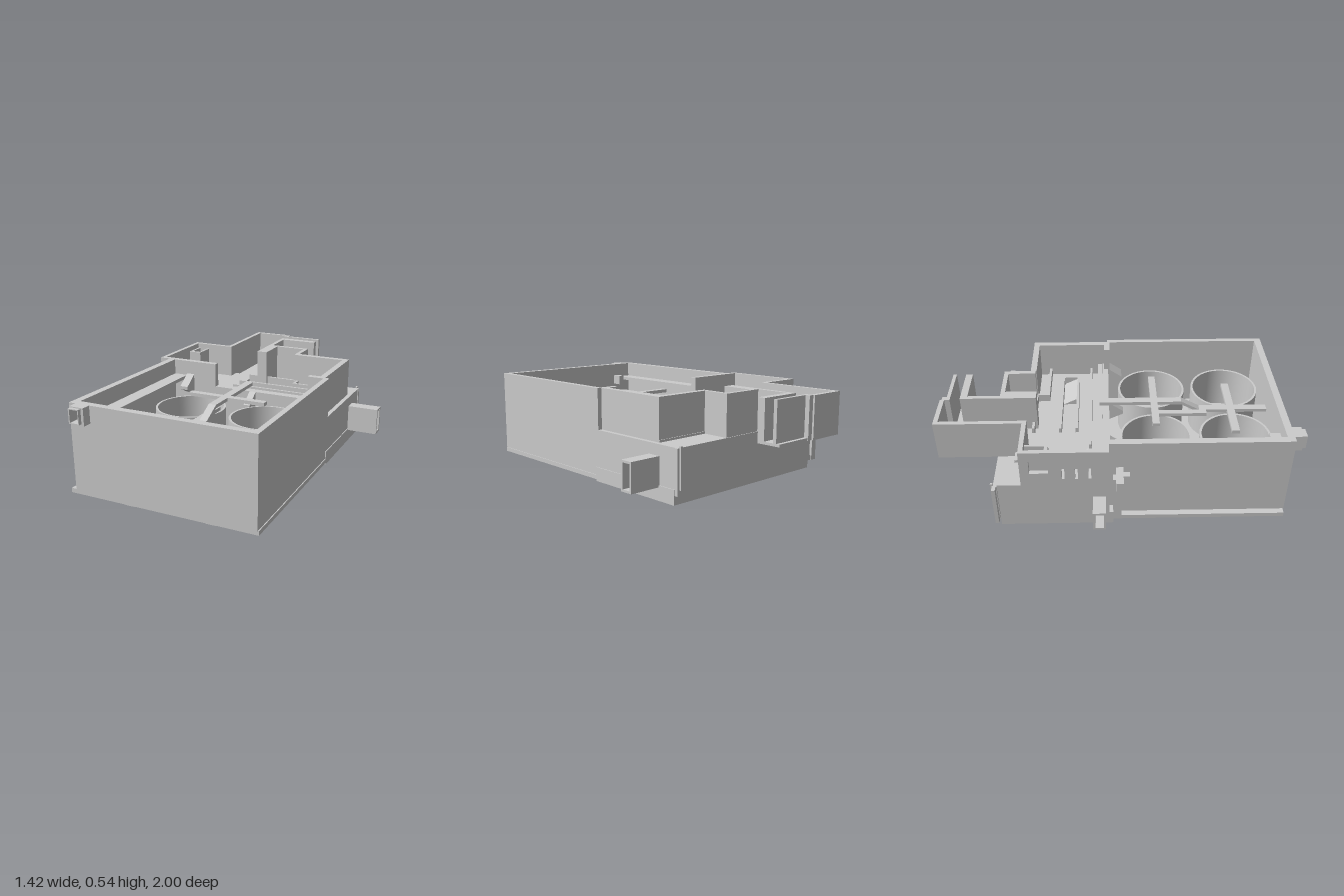
import * as THREE from 'three';

export function createModel() {
  const root = new THREE.Group();
  const mat = new THREE.MeshStandardMaterial({ color: 0xcccccc, flatShading: true });
  const smooth = new THREE.MeshStandardMaterial({ color: 0xcccccc });

  function add(name, geo, m = mat, parent = root) {
    const mesh = new THREE.Mesh(geo, m);
    mesh.name = name;
    parent.add(mesh);
    return mesh;
  }
  // box given by its limits along each axis
  function box(name, x0, x1, y0, y1, z0, z1) {
    const mesh = add(name, new THREE.BoxGeometry(x1 - x0, y1 - y0, z1 - z0));
    mesh.position.set((x0 + x1) / 2, (y0 + y1) / 2, (z0 + z1) / 2);
    return mesh;
  }
  function rect(P, x0, x1, y0, y1) {
    const p = new P();
    p.moveTo(x0, y0); p.lineTo(x1, y0); p.lineTo(x1, y1); p.lineTo(x0, y1); p.closePath();
    return p;
  }
  // plate with rectangular holes, extruded by depth along z
  function plate(x0, x1, y0, y1, holes, depth) {
    const s = rect(THREE.Shape, x0, x1, y0, y1);
    for (const h of holes) s.holes.push(rect(THREE.Path, ...h));
    return new THREE.ExtrudeGeometry(s, { depth, bevelEnabled: false });
  }
  // hollow rectangular duct along x, limits as for a box
  function sideDuct(name, x0, x1, y0, y1, z0, z1, t) {
    const geo = plate(z0, z1, y0, y1, [[z0 + t, z1 - t, y0 + t, y1 - t]], x1 - x0);
    geo.rotateY(-Math.PI / 2);
    geo.translate(x1, 0, 0);
    return add(name, geo);
  }
  // wedge: side profile in (z, y), width along x
  function wedge(name, x0, x1, pts) {
    const s = new THREE.Shape(pts.map(([z, y]) => new THREE.Vector2(z, y)));
    const geo = new THREE.ExtrudeGeometry(s, { depth: x1 - x0, bevelEnabled: false });
    geo.rotateY(-Math.PI / 2);
    geo.translate(x1, 0, 0);
    return add(name, geo);
  }

  // Front tub: walls, floor, foot flange
  const top = 0.54;
  box('frontWall', -0.525, 0.525, 0.055, top, 0.89, 0.93);
  box('rightTubWall', -0.525, -0.485, 0.055, top, -0.05, 0.89);
  box('leftTubWall', 0.495, 0.525, 0.055, top, -0.05, 0.89);
  box('tubFloor', -0.485, 0.495, 0.07, 0.09, -0.05, 0.89);
  const flange = add('footFlange',
    plate(-0.56, 0.53, -0.925, 0.04, [[-0.48, 0.49, -0.88, -0.02]], 0.025));
  flange.rotation.x = -Math.PI / 2;
  flange.position.y = 0.03;
  box('tubBackPanel', -0.485, -0.2, 0.09, top, -0.08, -0.045);
  box('tubBackWall', -0.2, 0.495, 0.09, 0.4, -0.08, -0.045);
  box('cableShelf', -0.485, -0.4, 0.43, 0.45, -0.045, 0.89);

  // Four open tubes through the floor
  for (const x of [-0.225, 0.25]) for (const z of [0.22, 0.675]) {
    const pts = [[0.192, 0], [0.205, 0], [0.205, 0.35], [0.192, 0.35], [0.192, 0]];
    const profile = [];
    // doubled corners keep the rim edges crisp
    pts.forEach(([r, y], i) => {
      profile.push(new THREE.Vector2(r, y));
      if (i > 0 && i < 4) profile.push(new THREE.Vector2(r, y));
    });
    add('cupTube', new THREE.LatheGeometry(profile, 48), smooth).position.set(x, 0, z);
  }

  // Spine with a step down, and cross bars above the tubes
  wedge('centreSpine', -0.02, 0.025, [
    [-0.1, 0.42], [0.38, 0.42], [0.49, 0.36], [0.89, 0.36],
    [0.89, 0.38], [0.49, 0.38], [0.38, 0.44], [-0.1, 0.44]]);
  box('spineRib', -0.055, -0.02, 0.36, 0.38, 0.24, 0.53);
  box('rearCrossBar', -0.225, 0.25, 0.42, 0.44, 0.2, 0.24);
  box('frontCrossBar', -0.225, 0.25, 0.36, 0.38, 0.655, 0.7);
  for (const [x0, x1, h] of [[-0.4, -0.35, 0.46], [0.03, 0.07, 0.4], [0.4, 0.485, 0.4]])
    wedge('gusset', x0, x1, [[-0.045, h - 0.12], [0.04, h - 0.08], [0.04, h - 0.06], [-0.045, h]]);
  box('cornerPost', 0.4, 0.495, 0.3, top, -0.07, -0.035);
  box('clip', -0.39, -0.35, 0.4, 0.46, 0.83, 0.89);

  // Small outlet on the front
  const outlet = add('frontOutlet',
    plate(-0.485, -0.4, 0.445, top, [[-0.47, -0.42, 0.46, 0.53]], 0.05));
  outlet.position.z = 0.93;
  const lip = add('outletLip',
    plate(-0.477, -0.415, 0.455, 0.535, [[-0.47, -0.42, 0.46, 0.53]], 0.02));
  lip.position.z = 0.98;
  box('outletBack', -0.47, -0.42, 0.46, 0.53, 0.925, 0.935);

  // Rear lower block
  box('rearBase', -0.58, 0.53, 0.02, 0.1, -0.65, -0.03);
  box('rearBody', -0.58, 0.525, 0.1, 0.31, -0.65, -0.05);
  box('rearPlate', -0.59, 0.525, 0.07, 0.31, -0.67, -0.65);
  for (const [x0, x1] of [[-0.62, -0.58], [0.505, 0.53]])
    box('cornerStrip', x0, x1, 0.07, 0.31, -0.675, -0.655);
  for (const x of [-0.58, 0.505]) box('cornerPeg', x, x + 0.012, 0.1, 0.32, -0.685, -0.67);

  // Side ducts
  sideDuct('leftSideDuct', 0.52, 0.71, 0.09, 0.25, -0.54, -0.465, 0.012);
  sideDuct('rightSideDuct', -0.71, -0.58, 0.1, 0.22, -0.14, -0.07, 0.012);
  box('sideConnector', -0.655, -0.525, 0.32, 0.38, -0.015, 0.025);
  box('connectorBracket', -0.57, -0.525, 0.06, 0.33, -0.03, 0.015);
  box('connectorCap', -0.565, -0.53, 0.31, 0.35, 0.025, 0.06);

  // Upper deck floors
  const f0 = 0.308, f1 = 0.322;
  box('deckFloor', -0.59, 0.5, f0, f1, -0.515, -0.05);
  box('ductFloor', -0.34, -0.085, f0, f1, -0.985, -0.515);
  box('alcoveFloor', -0.085, 0.17, f0, f1, -0.66, -0.515);
  box('armFloor', -0.085, 0.145, f0, f1, -0.985, -0.85);

  // Upper deck perimeter walls: x0, x1, z0, z1
  const walls = [
    [-0.565, -0.34, -0.52, -0.495], [-0.34, -0.315, -1.0, -0.495],
    [-0.315, -0.115, -1.0, -0.975], [-0.115, -0.085, -0.99, -0.945],
    [-0.085, 0.145, -0.965, -0.945], [-0.105, 0.145, -0.89, -0.85],
    [-0.105, -0.08, -0.85, -0.64], [-0.08, 0.17, -0.665, -0.64],
    [0.145, 0.17, -0.64, -0.48], [0.17, 0.5, -0.51, -0.475],
    [0.465, 0.5, -0.475, -0.05], [-0.565, -0.485, -0.08, -0.05],
  ];
  for (const [x0, x1, z0, z1] of walls) box('deckWall', x0, x1, f0, top, z0, z1);

  // Slotted side wall of the deck
  const slots = [-0.3, -0.23, -0.16].map(z => [z, z + 0.015, 0.36, 0.43]);
  const slotted = plate(-0.52, -0.05, f0, top, [[-0.47, -0.37, 0.4, 0.48], ...slots], 0.025);
  slotted.rotateY(-Math.PI / 2);
  slotted.translate(-0.565, 0, 0);
  add('slottedWall', slotted);

  // Deck fittings and winding channel
  box('alcoveBlock', -0.105, -0.04, f1, top, -0.64, -0.46);
  const socket = add('socket', plate(-0.565, -0.485, 0.37, 0.515, [[-0.55, -0.5, 0.39, 0.495]], 0.13));
  socket.rotation.x = -Math.PI / 2;
  socket.position.set(0, 0.38, -0.0);
  box('socketStem', -0.55, -0.5, f1, 0.38, -0.46, -0.42);
  box('deckStep', -0.41, -0.17, f1, 0.34, -0.57, -0.12);
  const channel = [
    [-0.17, 0.165, -0.49, -0.475], [0.165, 0.18, -0.49, -0.42], [0.165, 0.46, -0.42, -0.405],
    [-0.17, 0.365, -0.335, -0.32], [0.35, 0.365, -0.32, -0.24], [-0.17, 0.365, -0.24, -0.225],
    [-0.32, 0.46, -0.16, -0.145],
  ];
  for (const [x0, x1, z0, z1] of channel) box('channelRib', x0, x1, f1, 0.37, z0, z1);
  wedge('channelRamp', 0.13, 0.35, [[-0.32, f1], [-0.24, f1], [-0.24, 0.36]]);
  wedge('deckRamp', -0.44, -0.41, [[-0.3, f1], [-0.16, f1], [-0.16, 0.42]]);
  box('deckRail', -0.46, 0.47, 0.37, 0.395, -0.11, -0.085);

  return root;
}
